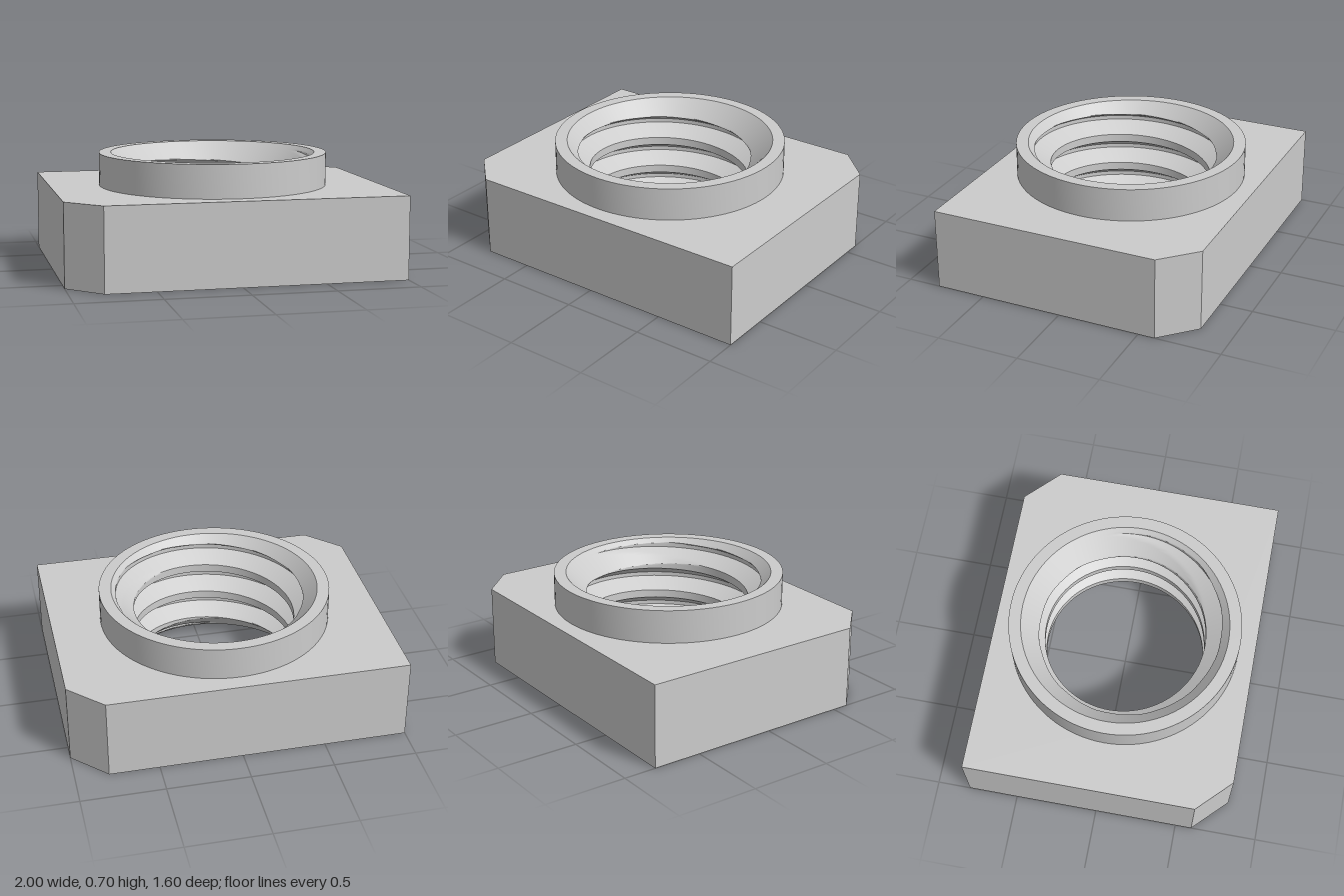
import * as THREE from 'three';
import { toCreasedNormals } from 'three/addons/utils/BufferGeometryUtils.js';

const SEG = 96;
const BLOCK_H = 0.5, TOTAL_H = 0.7;
const MINOR = 0.492, MAJOR = 0.6, PITCH = 0.2, SINK = 0.627;

// Radius of the 60-degree thread profile at a height within one pitch
function threadRadius(h) {
  const t = h - Math.floor(h / PITCH + 1e-6) * PITCH;
  const crest = 0.05, flank = 0.0625;
  const fromCrest = Math.min(Math.max(t - crest, 0), Math.max(PITCH - t, 0));
  return MINOR + (MAJOR - MINOR) * Math.min(fromCrest / flank, 1);
}

// Helical bore wall, opened by a 45-degree countersink at both ends
function boreGeometry() {
  const step = 0.00625;
  const rows = Math.round((TOTAL_H + PITCH) / step);
  const positions = [], index = [];
  for (let j = 0; j <= rows; j++) {
    for (let i = 0; i <= SEG; i++) {
      const a = (i / SEG) * Math.PI * 2;
      const h = j * step - PITCH;
      const y = THREE.MathUtils.clamp(h + (PITCH * i) / SEG, 0, TOTAL_H);
      const thread = threadRadius(y - (PITCH * i) / SEG);
      const r = Math.max(thread, SINK - y, SINK - (TOTAL_H - y));
      positions.push(-r * Math.sin(a), y, -r * Math.cos(a));
    }
  }
  const yAt = (k) => positions[k * 3 + 1];
  const addFace = (a, b, c) => {
    // skip triangles flattened onto an end of the bore
    const flat = [0, TOTAL_H].some((e) => [a, b, c].every((k) => yAt(k) === e));
    if (!flat) index.push(a, b, c);
  };
  for (let j = 0; j < rows; j++) {
    for (let i = 0; i < SEG; i++) {
      const a = j * (SEG + 1) + i, b = a + 1, c = a + SEG + 1, d = c + 1;
      addFace(a, c, b);
      addFace(b, c, d);
    }
  }
  const geometry = new THREE.BufferGeometry();
  geometry.setAttribute('position', new THREE.Float32BufferAttribute(positions, 3));
  geometry.setIndex(index);
  return toCreasedNormals(geometry, Math.PI / 7);
}

// Rectangular block with two opposite corners cut off and a round hole
function blockGeometry() {
  const shape = new THREE.Shape([
    [-0.8, -0.8], [1, -0.8], [1, 0.6], [0.8, 0.8], [-1, 0.8], [-1, -0.6],
  ].map(([x, y]) => new THREE.Vector2(x, y)));
  const hole = new THREE.Path();
  hole.absarc(0, 0, SINK, 0, Math.PI * 2, true);
  shape.holes.push(hole);
  const geometry = new THREE.ExtrudeGeometry(shape, {
    depth: BLOCK_H, bevelEnabled: false, curveSegments: SEG / 2,
  });
  return geometry.rotateX(-Math.PI / 2);
}

// Raised ring: outer wall and flat rim
function collarGeometry() {
  const profile = [[0.7, BLOCK_H], [0.7, TOTAL_H], [SINK, TOTAL_H]]
    .map(([r, y]) => new THREE.Vector2(r, y));
  return toCreasedNormals(new THREE.LatheGeometry(profile, SEG), Math.PI / 6);
}

export function createModel() {
  const group = new THREE.Group();
  group.name = 'collaredNut';
  const material = new THREE.MeshStandardMaterial({ color: 0xcccccc });
  const parts = {
    block: blockGeometry(),
    collar: collarGeometry(),
    threadedBore: boreGeometry(),
  };
  for (const [name, geometry] of Object.entries(parts)) {
    const mesh = new THREE.Mesh(geometry, material);
    mesh.name = name;
    group.add(mesh);
  }
  return group;
}
